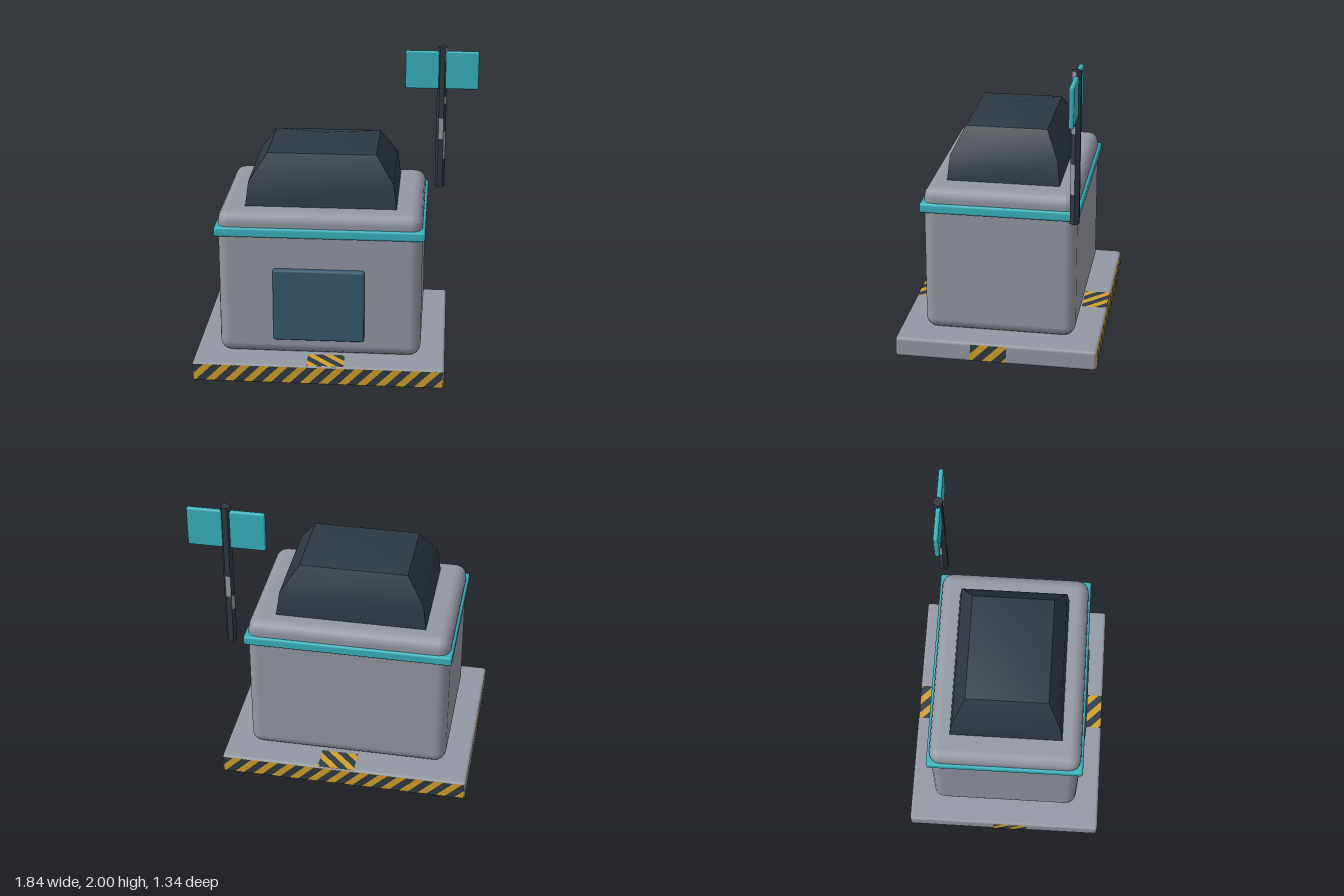
import * as THREE from 'three';
import { RoundedBoxGeometry } from 'three/addons/geometries/RoundedBoxGeometry.js';
import { mergeGeometries } from 'three/addons/utils/BufferGeometryUtils.js';

const material = (name, color) => {
  const m = new THREE.MeshStandardMaterial({ color });
  m.name = name;
  return m;
};

const CX = -0.092; // centre line of the building

export function createModel() {
  const grey = material('concrete grey', 0x9498a2);
  const teal = material('teal trim', 0x38b3be);
  const dark = material('dark slate', 0x2e3943);
  const blue = material('window blue', 0x365b6e);
  const amber = material('hazard amber', 0xd2a02c);

  const model = new THREE.Group();
  model.name = 'kiosk';

  const add = (name, geometry, mat, x = 0, y = 0, z = 0, parent = model) => {
    const mesh = new THREE.Mesh(geometry, mat);
    mesh.name = name;
    mesh.position.set(x, y, z);
    parent.add(mesh);
    return mesh;
  };
  const block = (name, mat, w, h, d, r, seg, x, y, z) =>
    add(name, new RoundedBoxGeometry(w, h, d, seg, r), mat, x, y, z);

  // Main masses
  block('base', grey, 1.66, 0.135, 1.33, 0.02, 2, CX, 0.0675, 0);
  block('body', grey, 1.335, 1.0, 1.0, 0.075, 2, CX, 0.635, 0);
  block('trimBand', teal, 1.37, 0.065, 1.035, 0.015, 2, CX, 1.0025, 0);
  block('window', blue, 0.6, 0.5, 0.07, 0.015, 2, -0.095, 0.505, 0.5);

  // Roof: tiered rectangular rings, each side smooth up its height and sharp at the corners
  const rings = [[0.495, 1.13, 0.37], [0.472, 1.3, 0.352], [0.355, 1.47, 0.268]];
  const apex = [0, 1.533, 0];
  const corners = [[-1, 1], [1, 1], [1, -1], [-1, -1]];
  const roofParts = [];
  const surface = (points, index) => {
    const g = new THREE.BufferGeometry();
    g.setAttribute('position', new THREE.Float32BufferAttribute(points.flat(), 3));
    g.setIndex(index);
    g.computeVertexNormals();
    roofParts.push(g);
  };
  const at = (ring, c) => [ring[0] * c[0], ring[1], ring[2] * c[1]];
  corners.forEach((c, i) => {
    const n = corners[(i + 1) % 4];
    surface(rings.flatMap((r) => [at(r, c), at(r, n)]), [0, 1, 3, 0, 3, 2, 2, 3, 5, 2, 5, 4]);
  });
  surface([...corners.map((c) => at(rings[2], c)), apex], [0, 1, 4, 1, 2, 4, 2, 3, 4, 3, 0, 4]);
  add('roof', mergeGeometries(roofParts), dark, CX, 0, 0);

  // Hazard panel: amber plate with diagonal dark stripes clipped to its width
  const clip = (poly, limit, sign) => {
    const out = [];
    poly.forEach((a, i) => {
      const b = poly[(i + 1) % poly.length];
      const da = sign * (limit - a.x), db = sign * (limit - b.x);
      if (da >= 0) out.push(a);
      if (da * db < 0) out.push(a.clone().lerp(b, da / (da - db)));
    });
    return out;
  };
  const hazard = (name, w, h, slope, x, y, z, rx, ry) => {
    const panel = new THREE.Group();
    panel.name = name;
    panel.position.set(x, y, z);
    panel.rotation.set(rx, ry, 0);
    model.add(panel);
    add(name + 'Plate', new THREE.PlaneGeometry(w, h), amber, 0, 0, 0, panel);
    const period = 0.125, shift = slope * h, reach = w / 2 + Math.abs(shift);
    const shapes = [];
    for (let a = -reach - period; a < reach; a += period) {
      const b = a + period * 0.52;
      let poly = [[a, -h / 2], [b, -h / 2], [b + shift, h / 2], [a + shift, h / 2]]
        .map((p) => new THREE.Vector2(...p));
      poly = clip(clip(poly, w / 2, 1), -w / 2, -1);
      if (poly.length > 2) shapes.push(new THREE.Shape(poly));
    }
    add(name + 'Stripes', new THREE.ShapeGeometry(shapes), dark, 0, 0, 0.002, panel);
  };
  const Q = Math.PI / 2;
  hazard('frontHazard', 1.64, 0.115, 1, CX, 0.0675, 0.6655, 0, 0);
  hazard('backHazard', 1.64, 0.115, 1, CX, 0.0675, -0.6655, 0, Math.PI);
  hazard('leftHazard', 0.24, 0.115, 1, CX + 0.8305, 0.0675, 0.045, 0, Q);
  hazard('rightHazard', 0.24, 0.115, 1, CX - 0.8305, 0.0675, 0.045, 0, -Q);
  hazard('topFrontHazard', 0.245, 0.17, -1, -0.045, 0.1355, 0.575, -Q, 0);
  hazard('topBackHazard', 0.245, 0.17, -1, -0.045, 0.1355, -0.575, -Q, 0);
  hazard('bottomHazard', 0.245, 1.31, 1, -0.045, 0.0025, 0, Q, 0);

  // Sign post: hexagonal, with worn grey patches given as [side, first row, row count]
  const rows = 20;
  const worn = [[5, 10, 3], [0, 12, 4], [0, 0, 2], [0, 7, 1], [2, 10, 3], [3, 13, 2]];
  const post = new THREE.CylinderGeometry(0.034, 0.034, 1, 6, rows).rotateY(Math.PI / 6).toNonIndexed();
  post.computeVertexNormals();
  post.clearGroups();
  for (let side = 0; side < 6; side++) {
    for (let row = 0; row < rows; row++) {
      const isWorn = worn.some(([s, r, n]) => s === side && row >= r && row < r + n);
      post.addGroup((side * rows + row) * 6, 6, isWorn ? 1 : 0);
    }
  }
  post.addGroup(6 * rows * 6, 36, 0); // end caps
  add('signPost', post, [dark, grey], 0.67, 1.5, -0.502);
  block('signBoard', teal, 0.5, 0.265, 0.032, 0.012, 2, 0.67, 1.8375, -0.5);

  return model;
}
